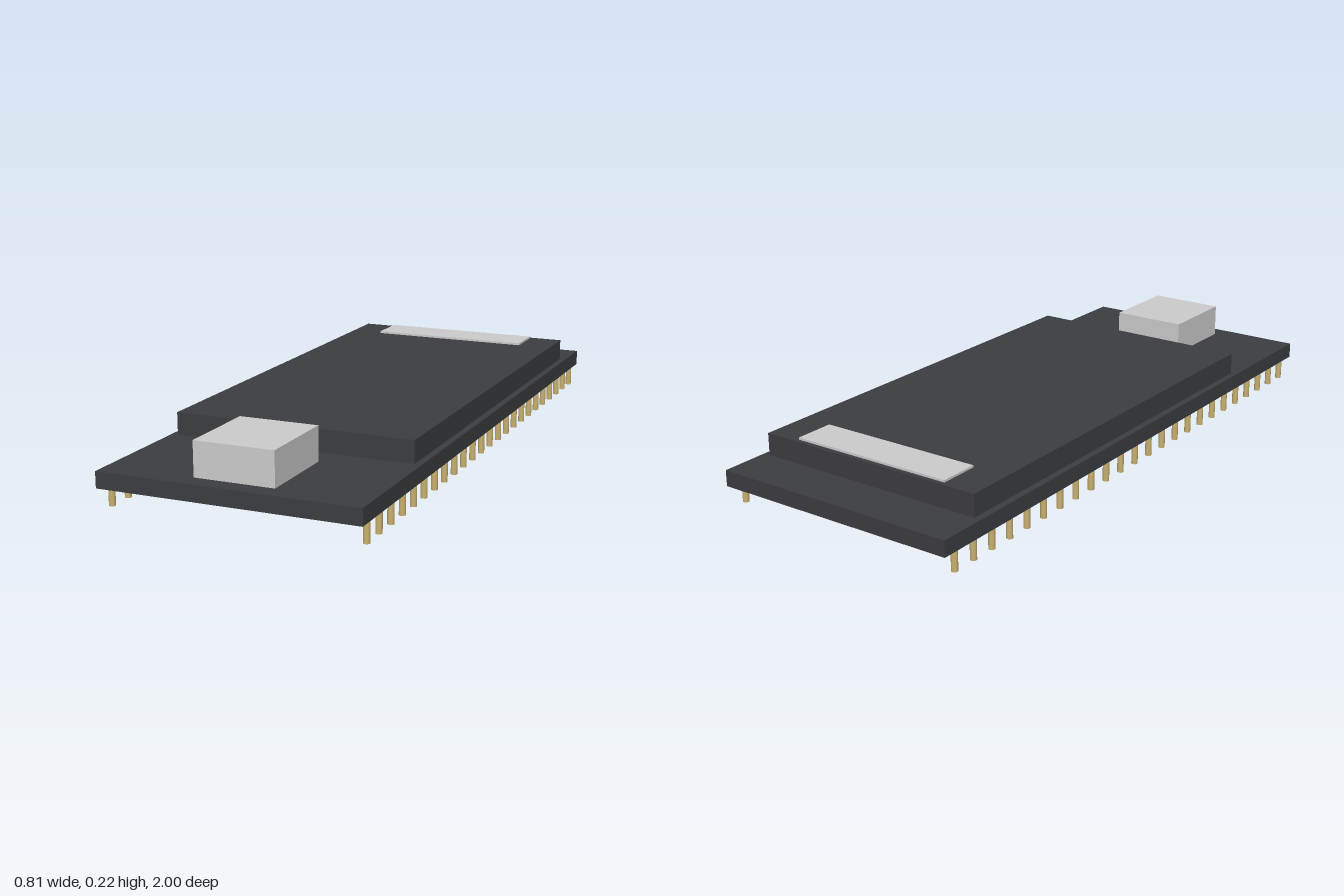
import * as THREE from 'three';

export function createModel() {
  const model = new THREE.Group();
  model.name = 'microcontrollerBoard';

  const dark = new THREE.MeshStandardMaterial({ color: 0x3c3d41 });
  const metal = new THREE.MeshStandardMaterial({ color: 0xcccccc });
  const gold = new THREE.MeshStandardMaterial({ color: 0xc8b070 });

  // Box centred on x, given by its y and z ranges
  function slab(name, width, y0, y1, z0, z1, material) {
    const mesh = new THREE.Mesh(new THREE.BoxGeometry(width, y1 - y0, z1 - z0), material);
    mesh.name = name;
    mesh.position.set(0, (y0 + y1) / 2, (z0 + z1) / 2);
    model.add(mesh);
  }

  slab('circuitBoard', 0.806, 0.065, 0.115, -1, 1, dark);
  slab('displayPanel', 0.763, 0.115, 0.185, -0.845, 0.59, dark);
  slab('displayConnectorStrip', 0.54, 0.18, 0.192, -0.831, -0.703, metal);
  slab('usbSocket', 0.248, 0.115, 0.221, 0.673, 0.943, metal);

  // Two rows of header pins along the long edges
  const pinCount = 24, pitch = 0.082, pinHeight = 0.065;
  const pinGeometry = new THREE.CylinderGeometry(0.01, 0.01, pinHeight, 12);
  for (const side of [1, -1]) {
    const row = new THREE.Group();
    row.name = side > 0 ? 'leftPinRow' : 'rightPinRow';
    for (let i = 0; i < pinCount; i++) {
      const pin = new THREE.Mesh(pinGeometry, gold);
      pin.name = 'headerPin';
      pin.position.set(side * 0.389, pinHeight / 2, (i - (pinCount - 1) / 2) * pitch);
      row.add(pin);
    }
    model.add(row);
  }
  return model;
}
